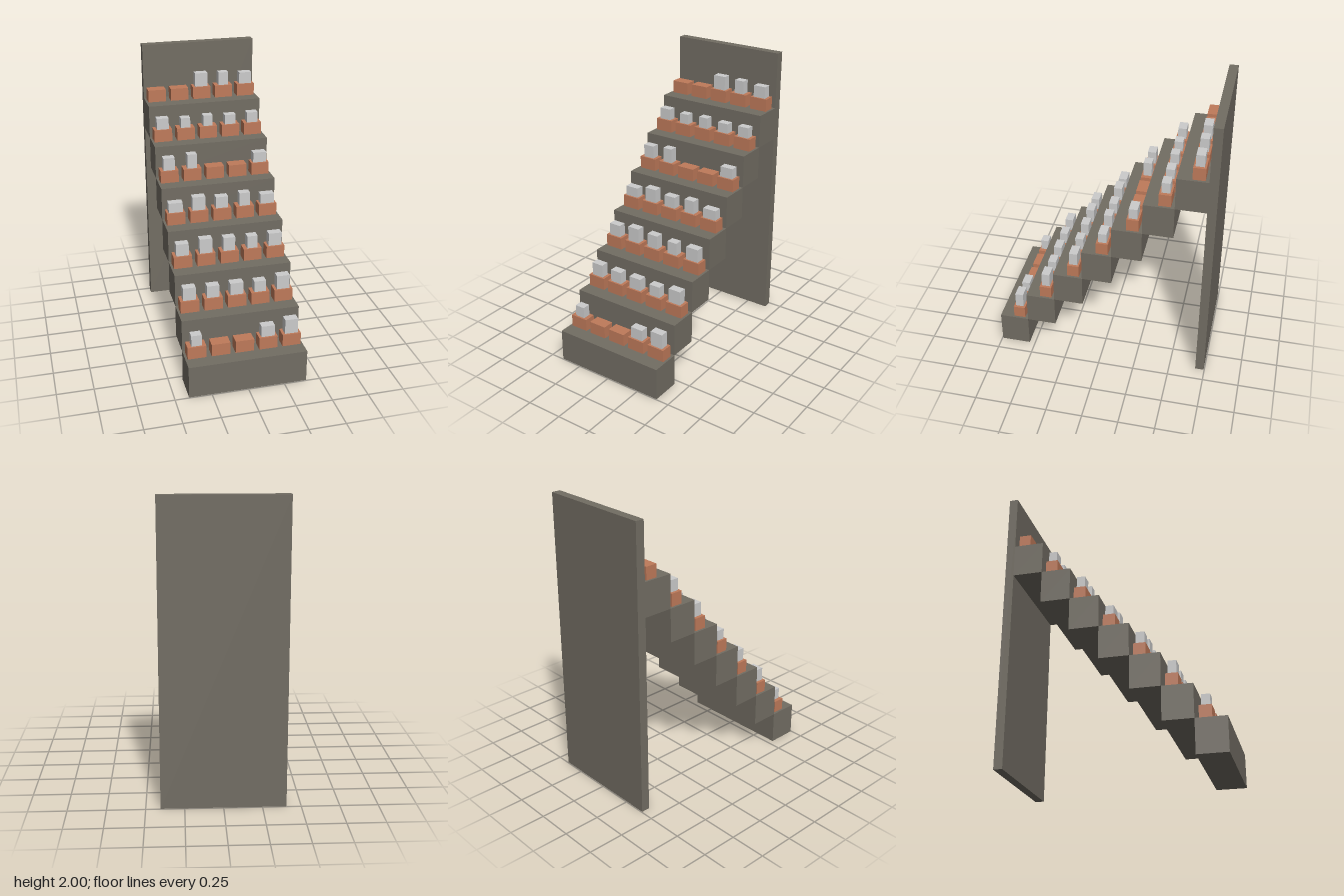
import * as THREE from 'three';

const STEP = { width: 0.81, rise: 0.23, run: 0.2043, front: 0.745 };
const SEAT = { width: 0.127, height: 0.087, depth: 0.082, pitch: 0.163, setback: 0.036 };
const BLOCK_DEPTH = 0.057;

// Blocks on the seats, bottom row first, -x to +x: [width, height], or 0 for an empty seat
const ROWS = [
  [[0.071, 0.08], 0, 0, [0.092, 0.08], [0.09, 0.106]],
  [[0.087, 0.093], [0.085, 0.087], [0.092, 0.087], [0.082, 0.08], [0.09, 0.1]],
  [[0.087, 0.087], [0.088, 0.106], [0.082, 0.098], [0.073, 0.09], [0.093, 0.093]],
  [[0.098, 0.07], [0.09, 0.098], [0.087, 0.082], [0.075, 0.095], [0.098, 0.07]],
  [[0.08, 0.09], [0.068, 0.103], 0, 0, [0.095, 0.074]],
  [[0.085, 0.08], [0.068, 0.071], [0.068, 0.077], [0.08, 0.069], [0.08, 0.074]],
  [0, 0, [0.09, 0.098], [0.07, 0.093], [0.088, 0.082]],
];

const stone = new THREE.MeshStandardMaterial({ color: 0x726d63 });
const terracotta = new THREE.MeshStandardMaterial({ color: 0xbf7a5a });
const grey = new THREE.MeshStandardMaterial({ color: 0xcccccc });

// Box placed by the centre of its underside
function addBox(parent, name, material, [w, h, d], [x, y, z]) {
  const mesh = new THREE.Mesh(new THREE.BoxGeometry(w, h, d), material);
  mesh.name = name;
  mesh.position.set(x, y + h / 2, z);
  parent.add(mesh);
}

export function createModel() {
  const model = new THREE.Group();
  model.name = 'steppedStand';

  // Upright slab behind the top step
  addBox(model, 'backWall', stone, [STEP.width, 2, 0.06], [0, 0, -0.715]);

  // Each tier: one step, five seats, and a block on the occupied ones
  ROWS.forEach((blocks, row) => {
    const tier = new THREE.Group();
    tier.name = `tier${row + 1}`;
    tier.position.set(0, row * STEP.rise, STEP.front - (row + 0.5) * STEP.run);
    model.add(tier);
    addBox(tier, 'step', stone, [STEP.width, STEP.rise, STEP.run], [0, 0, 0]);

    blocks.forEach((block, i) => {
      const x = (i - 2) * SEAT.pitch;
      const z = -SEAT.setback;
      addBox(tier, 'seat', terracotta, [SEAT.width, SEAT.height, SEAT.depth], [x, STEP.rise, z]);
      if (block) {
        const [w, h] = block;
        addBox(tier, 'seatBlock', grey, [w, h, BLOCK_DEPTH], [x, STEP.rise + SEAT.height, z]);
      }
    });
  });

  return model;
}
